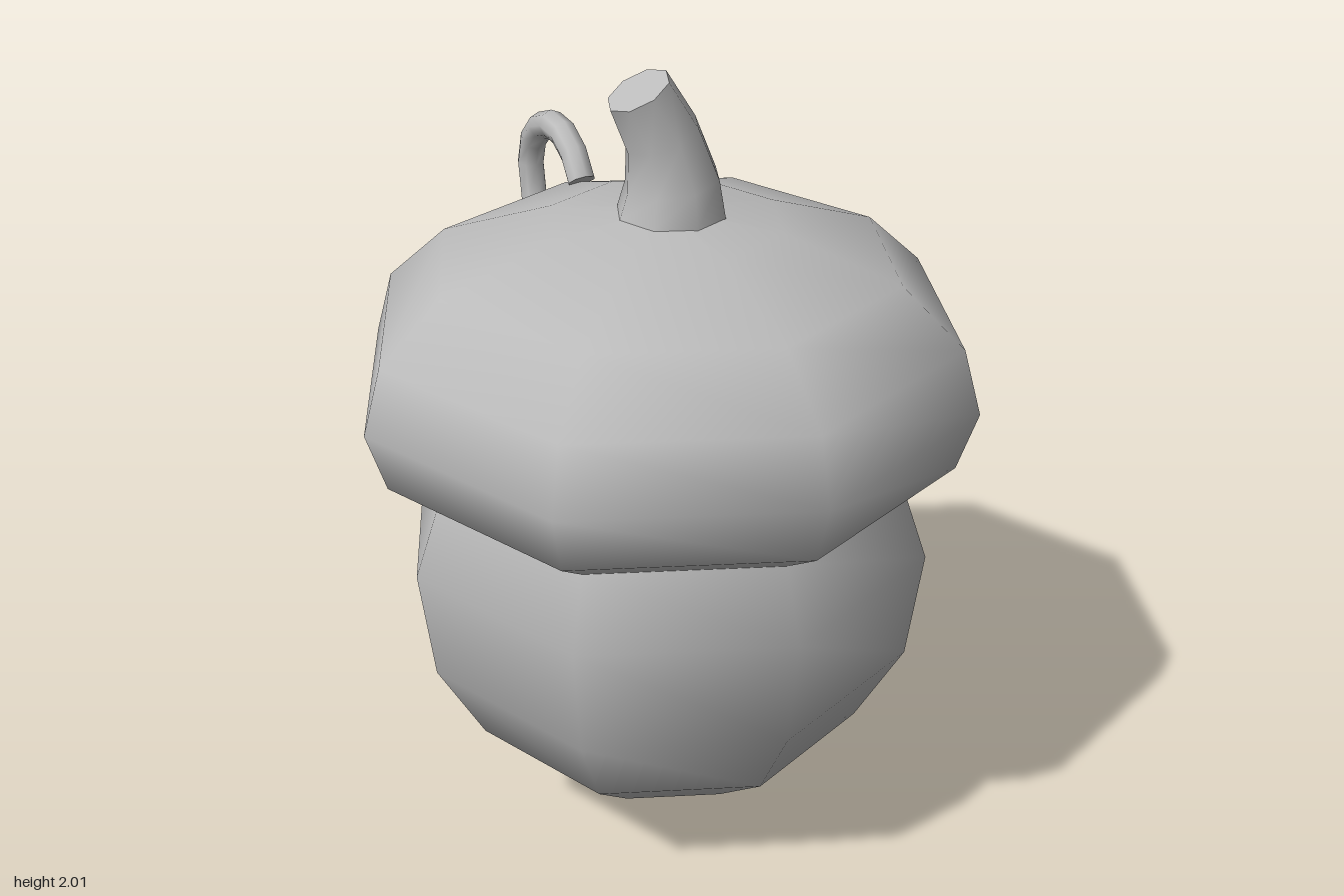
import * as THREE from 'three';

const SIDES = 8;
const CENTRE_Z = 0.035;

// Smooth tapered tube with closed ends along a planar path; "side" is the plane's normal.
function loft(path, radii, side) {
  const pos = [], index = [], n = path.length;
  const addRing = (i) => {
    const start = pos.length / 3;
    const tangent = path[Math.min(i + 1, n - 1)].clone().sub(path[Math.max(i - 1, 0)]).normalize();
    const normal = side.clone().cross(tangent);
    for (let j = 0; j < SIDES; j++) {
      const a = (j / SIDES) * Math.PI * 2;
      const p = path[i].clone()
        .addScaledVector(normal, Math.cos(a) * radii[i])
        .addScaledVector(side, Math.sin(a) * radii[i]);
      pos.push(p.x, p.y, p.z);
    }
    return start;
  };
  for (let i = 0; i < n; i++) addRing(i);
  for (let i = 0; i < n - 1; i++) {
    for (let j = 0; j < SIDES; j++) {
      const k = (j + 1) % SIDES;
      const a = i * SIDES + j, b = i * SIDES + k;
      index.push(a, b, b + SIDES, a, b + SIDES, a + SIDES);
    }
  }
  // End faces keep their own vertices so the rims stay sharp
  const first = addRing(0), last = addRing(n - 1);
  for (let j = 1; j < SIDES - 1; j++) {
    index.push(first, first + j + 1, first + j, last, last + j, last + j + 1);
  }
  const geo = new THREE.BufferGeometry();
  geo.setAttribute('position', new THREE.Float32BufferAttribute(pos, 3));
  geo.setIndex(index);
  geo.computeVertexNormals();
  return geo;
}

function turned(profile) {
  return new THREE.LatheGeometry(profile.map(([r, y]) => new THREE.Vector2(r, y)), SIDES);
}

export function createModel() {
  const model = new THREE.Group();
  model.name = 'acornOrnament';
  const grey = new THREE.MeshStandardMaterial({ color: 0xbbbbbb });
  grey.name = 'grey';

  const add = (name, geometry, z = 0) => {
    const mesh = new THREE.Mesh(geometry, grey);
    mesh.name = name;
    mesh.position.z = z;
    model.add(mesh);
  };

  // Nut body and the small point beneath it
  add('nut', turned([
    [0, 0.08], [0.15, 0.09], [0.315, 0.16], [0.52, 0.33], [0.64, 0.55], [0.675, 0.84], [0.61, 1.02],
  ]), CENTRE_Z);
  add('tip', turned([[0, 0], [0.115, 0.04], [0.155, 0.09]]), CENTRE_Z);

  // Cap with a flat underside
  add('cap', turned([
    [0.61, 1.02], [0.73, 1.1], [0.777, 1.25], [0.73, 1.41], [0.575, 1.55], [0.29, 1.645], [0, 1.675],
  ]), CENTRE_Z);
  add('capUnderside', new THREE.CircleGeometry(0.61, SIDES).rotateX(Math.PI / 2).translate(0, 1.02, 0), CENTRE_Z);

  // Bent stem
  const stemPath = [[0.015, 1.66], [0.017, 1.74], [-0.01, 1.855], [-0.07, 1.968]]
    .map(([x, y]) => new THREE.Vector3(x, y, 0));
  add('stem', loft(stemPath, [0.135, 0.117, 0.093, 0.08], new THREE.Vector3(0, 0, 1)), CENTRE_Z);

  // Hanging loop at the back
  const loopPath = [
    [-0.44, 1.585], [-0.485, 1.645], [-0.55, 1.68], [-0.62, 1.685], [-0.69, 1.66],
    [-0.75, 1.605], [-0.773, 1.535], [-0.757, 1.44], [-0.715, 1.355],
  ].map(([z, y]) => new THREE.Vector3(0, y, z));
  add('hangingLoop', loft(loopPath, loopPath.map(() => 0.037), new THREE.Vector3(1, 0, 0)));

  return model;
}
